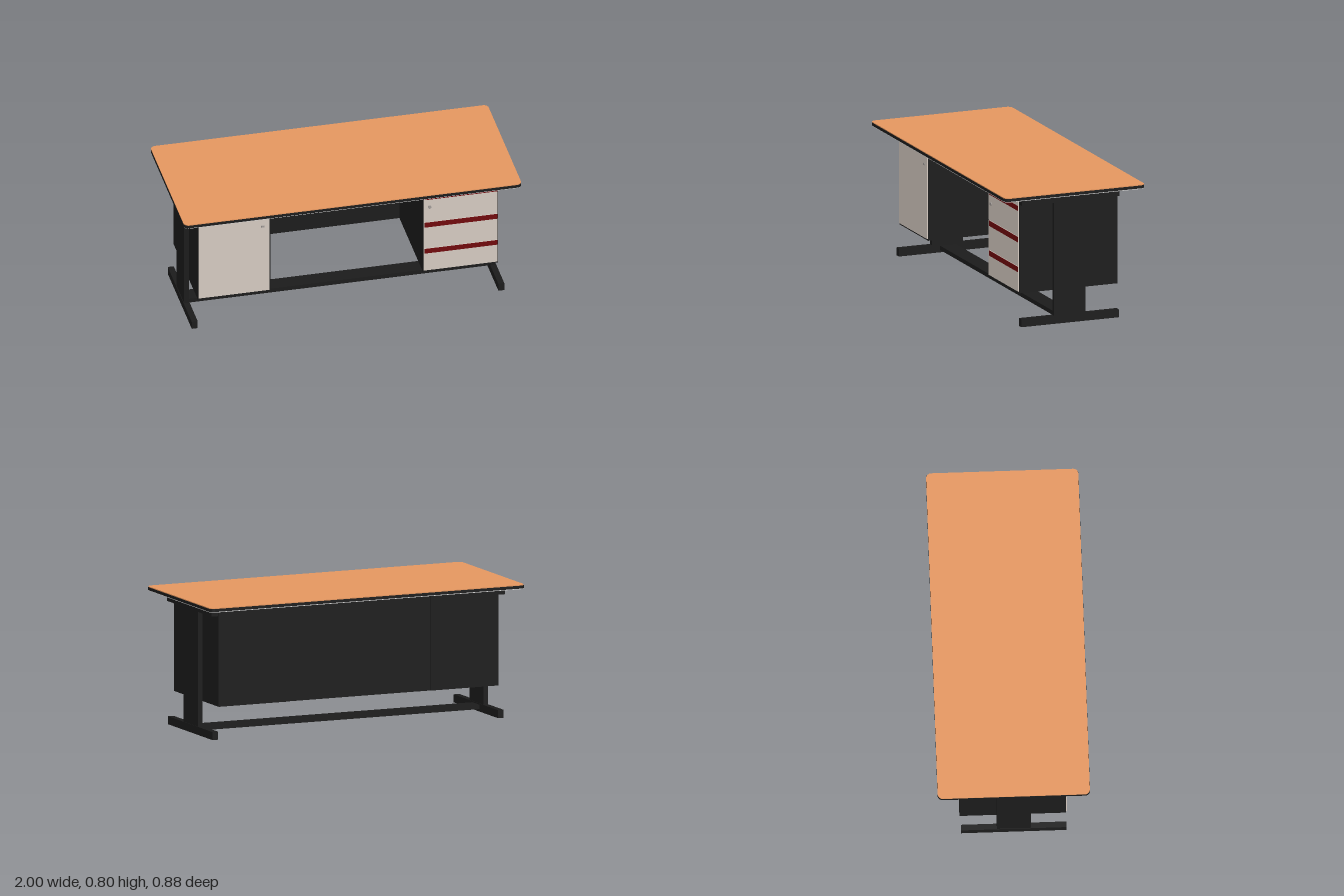
import * as THREE from 'three';

const mat = (name, color) => {
  const m = new THREE.MeshStandardMaterial({ color });
  m.name = name;
  return m;
};

export function createModel() {
  const desk = new THREE.Group();
  desk.name = 'desk';
  const black = mat('black metal', 0x1b1b1b);
  const wood = mat('copper wood', 0xe4965f);
  const cream = mat('warm grey front', 0xd4c9c0);
  const red = mat('dark red', 0x700a0c);
  const grey = mat('underside grey', 0xd7d7d7);
  const steel = mat('lock steel', 0xa09b97);

  // Box given by its min and max on each axis
  const box = (name, m, [x0, x1], [y0, y1], [z0, z1], parent = desk) => {
    const mesh = new THREE.Mesh(new THREE.BoxGeometry(x1 - x0, y1 - y0, z1 - z0), m);
    mesh.position.set((x0 + x1) / 2, (y0 + y1) / 2, (z0 + z1) / 2);
    mesh.name = name;
    parent.add(mesh);
  };

  // Rounded rectangular slab lying flat
  const slab = (name, m, a, b, r, y0, y1) => {
    const s = new THREE.Shape();
    s.absarc(a - r, -b + r, r, -Math.PI / 2, 0);
    s.absarc(a - r, b - r, r, 0, Math.PI / 2);
    s.absarc(-a + r, b - r, r, Math.PI / 2, Math.PI);
    s.absarc(-a + r, -b + r, r, Math.PI, Math.PI * 1.5);
    s.closePath();
    const g = new THREE.ExtrudeGeometry(s, { depth: y1 - y0, curveSegments: 6, bevelEnabled: false });
    g.rotateX(-Math.PI / 2);
    const mesh = new THREE.Mesh(g, m);
    mesh.position.y = y0;
    mesh.name = name;
    desk.add(mesh);
  };

  // Tabletop: wood surface, black edge band, pale underside
  slab('tabletopSurface', wood, 0.999, 0.439, 0.03, 0.79, 0.795);
  slab('tabletopEdge', black, 1, 0.44, 0.03, 0.773, 0.79);
  slab('tabletopUnderside', grey, 0.998, 0.438, 0.03, 0.769, 0.773);
  box('tabletopSpacer', grey, [-0.93, 0.93], [0.765, 0.77], [-0.262, 0.27]);

  // T-shaped legs with foot and top rail
  for (const side of [-1, 1]) {
    const leg = new THREE.Group();
    leg.name = side > 0 ? 'leftLeg' : 'rightLeg';
    desk.add(leg);
    const span = (a, b) => (side > 0 ? [a, b] : [-b, -a]);
    box('foot', black, span(0.89, 0.925), [0, 0.047], [-0.303, 0.307], leg);
    box('upright', black, span(0.893, 0.922), [0, 0.725], [-0.096, 0.1], leg);
    box('topRail', black, span(0.888, 0.932), [0.722, 0.767], [-0.303, 0.307], leg);
  }
  box('stretcher', black, [-0.895, 0.895], [0.015, 0.04], [-0.05, 0.05]);
  for (const z of [-0.24, 0.24]) {
    box('crossRail', black, [-0.89, 0.89], [0.743, 0.766], [z - 0.025, z + 0.025]);
  }

  // Drawer pedestal, cupboard shell around a recessed door, and the panel between
  box('drawerPedestal', black, [0.443, 0.889], [0.193, 0.747], [-0.311, 0.305]);
  box('cupboardBody', black, [-0.889, -0.46], [0.193, 0.747], [-0.311, 0.25]);
  for (const x of [-0.889, -0.465]) {
    box('cupboardSide', black, [x, x + 0.005], [0.193, 0.747], [0.25, 0.305]);
  }
  box('cupboardFloor', black, [-0.884, -0.465], [0.193, 0.202], [0.25, 0.305]);
  box('modestyPanel', black, [-0.46, 0.443], [0.193, 0.747], [-0.305, -0.29]);

  // Door with a pull set deep in a groove, and its lock
  box('doorPanel', cream, [-0.884, -0.465], [0.202, 0.689], [0.25, 0.31]);
  box('doorTopStrip', cream, [-0.884, -0.465], [0.717, 0.745], [0.25, 0.31]);
  for (const [x0, x1] of [[-0.884, -0.876], [-0.472, -0.465]]) {
    box('doorGrooveEnd', cream, [x0, x1], [0.689, 0.717], [0.25, 0.31]);
  }
  box('doorPull', red, [-0.876, -0.472], [0.689, 0.71], [0.25, 0.256]);
  box('doorLock', steel, [-0.515, -0.495], [0.634, 0.646], [0.309, 0.314]);

  // Drawer fronts, each with a pull strip along its top
  const drawers = [[0.202, 0.35], [0.352, 0.528], [0.53, 0.744]];
  const pulls = [[0.318, 0.349], [0.495, 0.527], [0.682, 0.711]];
  drawers.forEach((y, i) => {
    box('drawerFront', cream, [0.448, 0.885], y, [0.305, 0.31]);
    box('drawerPull', red, [0.453, 0.882], pulls[i], [0.308, 0.3115]);
  });

  // Round drawer lock
  const lock = new THREE.Mesh(new THREE.CylinderGeometry(0.01, 0.01, 0.006, 16), steel);
  lock.rotation.x = Math.PI / 2;
  lock.position.set(0.482, 0.632, 0.312);
  lock.name = 'drawerLock';
  desk.add(lock);

  return desk;
}
